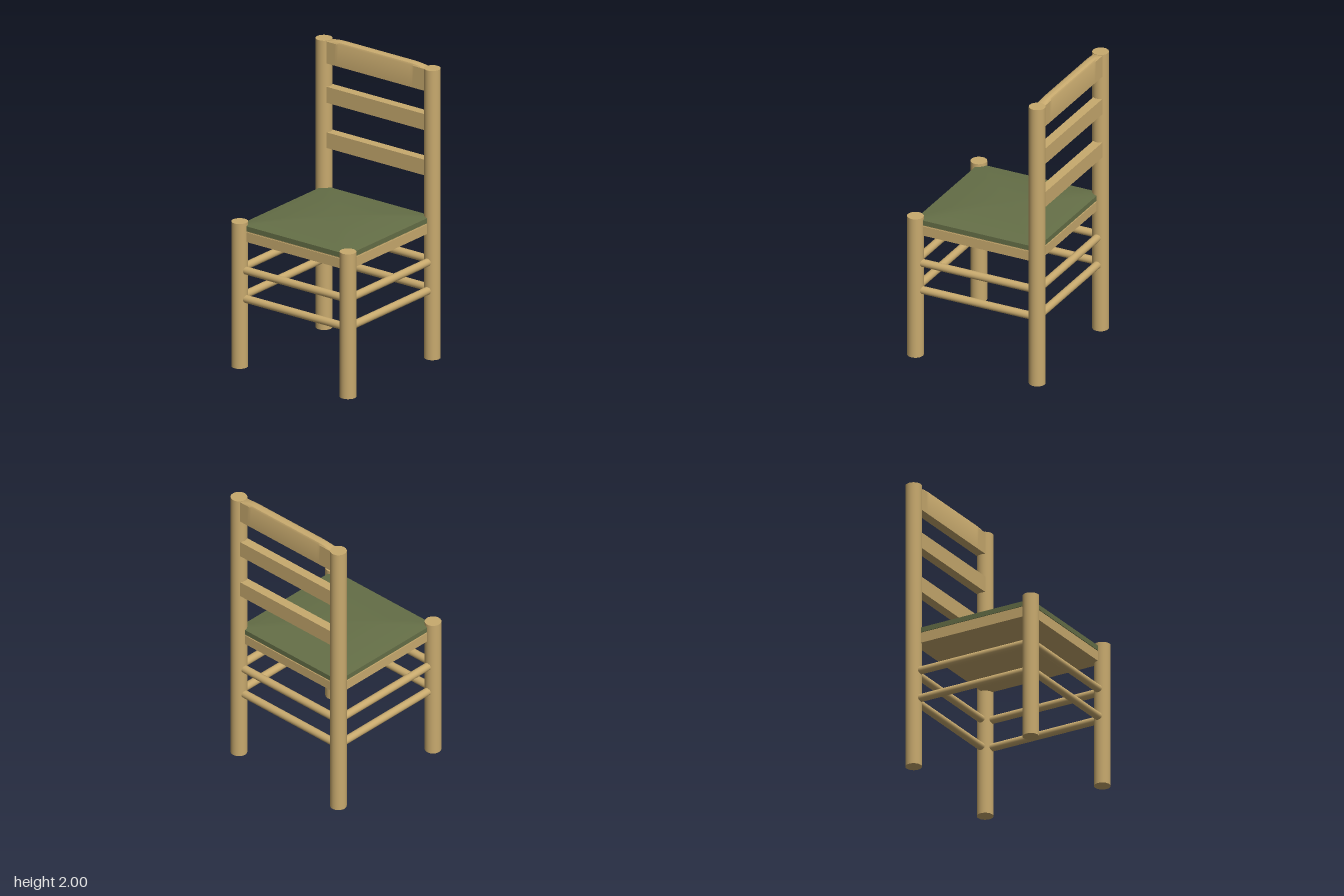
import * as THREE from 'three';
import { toCreasedNormals } from 'three/addons/utils/BufferGeometryUtils.js';

const LEG = 0.44; // distance of the leg axes from the centre

export function createModel() {
  const model = new THREE.Group();
  model.name = 'chair';
  const wood = new THREE.MeshStandardMaterial({ name: 'wood', color: 0xc8aa6e });
  const fabric = new THREE.MeshStandardMaterial({ name: 'greenFabric', color: 0x656f47 });

  function add(name, geometry, material, x, y, z) {
    const mesh = new THREE.Mesh(geometry, material);
    mesh.name = name;
    mesh.position.set(x, y, z);
    model.add(mesh);
    return mesh;
  }

  // Raise the top vertices of a box by a rule
  function shapeTop(geometry, height, rise) {
    const p = geometry.attributes.position;
    for (let i = 0; i < p.count; i++) {
      if (p.getY(i) > height / 2 - 1e-5) p.setY(i, height / 2 + rise(p.getX(i), p.getZ(i)));
    }
    return toCreasedNormals(geometry, 0.5);
  }

  // Round legs, taller at the back
  for (const side of [1, -1]) {
    const name = side > 0 ? 'left' : 'right';
    add(name + 'FrontLeg', new THREE.CylinderGeometry(0.054, 0.054, 0.995, 40), wood, side * LEG, 0.4975, LEG);
    add(name + 'BackLeg', new THREE.CylinderGeometry(0.054, 0.054, 1.987, 40), wood, side * LEG, 0.9935, -LEG);
  }

  // Two rungs on each side
  for (const y of [0.668, 0.473]) {
    for (const side of [1, -1]) {
      const rung = new THREE.CylinderGeometry(0.026, 0.026, 2 * LEG, 24);
      add(side > 0 ? 'frontRung' : 'backRung', rung, wood, 0, y, side * LEG).rotation.z = Math.PI / 2;
      add(side > 0 ? 'leftRung' : 'rightRung', rung, wood, side * LEG, y, 0).rotation.x = Math.PI / 2;
    }
  }

  // Seat board with a slightly inset top
  add('seatBoard', new THREE.BoxGeometry(0.88, 0.066, 0.88), wood, 0, 0.897, 0);
  add('seatBoardTop', new THREE.BoxGeometry(0.87, 0.012, 0.87), wood, 0, 0.934, 0);

  // Cushion that swells gently towards the middle
  const cushion = new THREE.BoxGeometry(0.88, 0.034, 0.88, 24, 1, 24);
  shapeTop(cushion, 0.034, () => 0);
  const domed = shapeTop(cushion, 0.034, (x, z) => {
    const m = Math.max(Math.abs(x), Math.abs(z)) / 0.44;
    return 0.028 * (1 - m * m);
  });
  add('cushion', domed, fabric, 0, 0.955, 0);

  // Two plain back slats
  for (const [y, h] of [[1.303, 0.107], [1.615, 0.11]]) {
    add('backSlat', new THREE.BoxGeometry(0.84, h, 0.064), wood, 0, y, -0.442);
  }

  // Top rail with a rounded crest that fades out at the ends
  const crest = shapeTop(new THREE.BoxGeometry(0.84, 0.15, 0.064, 48, 1, 10), 0.15, (x, z) => {
    const fade = 1 - THREE.MathUtils.clamp((Math.abs(x) - 0.28) / 0.12, 0, 1) ** 2;
    const round = Math.sqrt(Math.max(0, 1 - (z / 0.032) ** 2));
    return 0.02 * fade * round;
  });
  add('topRail', crest, wood, 0, 1.905, -0.442);

  return model;
}
